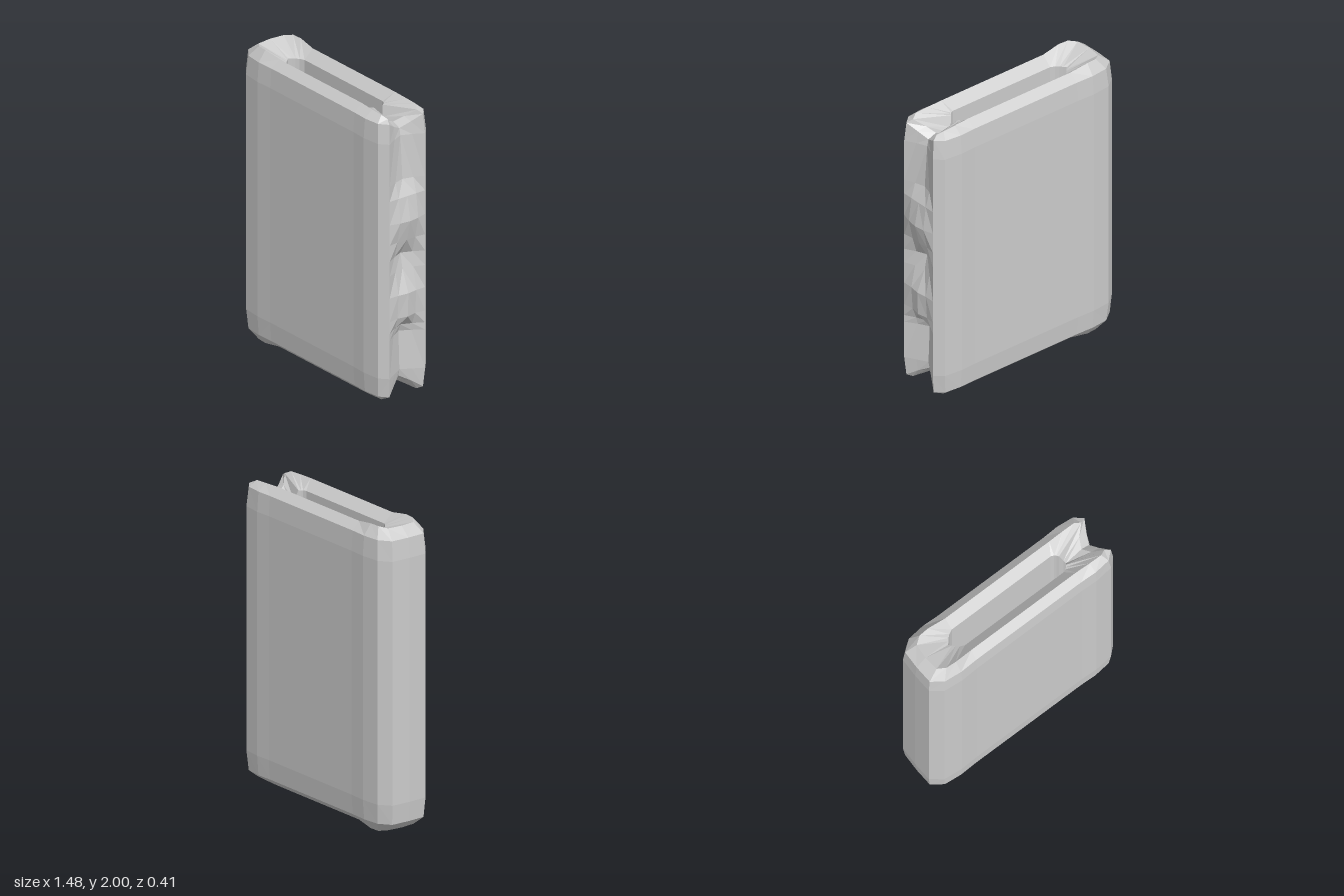
import * as THREE from 'three';

// Half cross-section from spine centre, round the front cover, to fore-edge centre.
const outer = [[-.74, 0], [-.735, .13], [-.66, .19], [-.53, .203], [-.41, .198], [.42, .198],
  [.53, .203], [.655, .19], [.71, .14], [0, .07], [0, 0]];
const ridge = [[-.66, 0, 1.99], [-.65, .1, 1.99], [-.6, .135, 2], [-.53, .14, 2], [-.4, .132, 1.98], [.42, .132, 1.98],
  [.53, .135, 1.975], [.62, .135, 1.97], [.66, .115, 1.95], [.6, .06, 1.9], [.57, 0, 1.87]];
const inner = [[-.48, 0], [-.465, .018], [-.45, .035], [-.43, .052], [-.4, .066], [.38, .066],
  [.4, .058], [.41, .048], [.42, .035], [.44, .015], [.45, 0]];

// Fore-edge relief: height, x at the groove's middle, x half way to the cover.
const relief = [[.07, .62, .66], [.2, .63, .67], [.46, .62, .66], [.51, .64, .67], [.59, .715, .7],
  [.75, .72, .71], [.9, .66, .68], [1.0, .64, .67], [1.11, .705, .7], [1.25, .74, .73],
  [1.41, .71, .71], [1.51, .66, .68], [1.8, .64, .67], [1.93, .63, .66]];

function createBook() {
  const half = outer.length - 1, around = half * 2, rows = relief.length + 4;
  const last = relief.length - 1;
  const positions = [], indices = [];

  // One closed strip per position: up the outside, over the rim, down the hollow.
  for (let i = 0; i < around; i++) {
    const k = i <= half ? i : around - i;
    const side = i <= half ? 1 : -1;
    const add = (x, y, z) => positions.push(x, y, z * side);

    relief.forEach(([level, mid, quarter], j) => {
      const end = j === 0 || j === last;
      let x = k === half ? mid : k === half - 1 ? quarter : outer[k][0];
      let y = level, z = outer[k][1];
      if (end) {
        if (k < 3) x += .012;
        if (k === 7 || k === 8) x -= .012;
        z *= .95;
        if (k === half) y = 1 + (y - 1) * .91;
        if (k === half - 1) y = 1 + (y - 1) * .95;
      }
      add(x, y, z);
    });
    const [rx, rz, ry] = ridge[k], [ix, iz] = inner[k];
    const rimY = k === half ? 1.82 : k === half - 1 ? 1.85 : 1.92;
    add(rx, ry, rz);
    add(ix, rimY, iz);
    add(ix, 2 - rimY, iz);
    add(rx, 2 - ry, rz);
  }
  for (let i = 0; i < around; i++) {
    for (let j = 0; j < rows; j++) {
      const n = (i + 1) % around, m = (j + 1) % rows;
      const a = i * rows + j, b = n * rows + j, c = n * rows + m, d = i * rows + m;
      // Diagonals mirror between the front and back halves
      if (i < half) indices.push(a, b, c, a, c, d);
      else indices.push(a, b, d, b, c, d);
    }
  }
  const geometry = new THREE.BufferGeometry();
  geometry.setAttribute('position', new THREE.Float32BufferAttribute(positions, 3));
  geometry.setIndex(indices);
  geometry.computeVertexNormals();
  return geometry;
}

export function createModel() {
  const group = new THREE.Group();
  group.name = 'hollowBook';
  const body = new THREE.Mesh(createBook(),
    new THREE.MeshStandardMaterial({ color: 0xcccccc, flatShading: true }));
  body.name = 'coversSpineAndForeEdge';
  group.add(body);
  return group;
}
